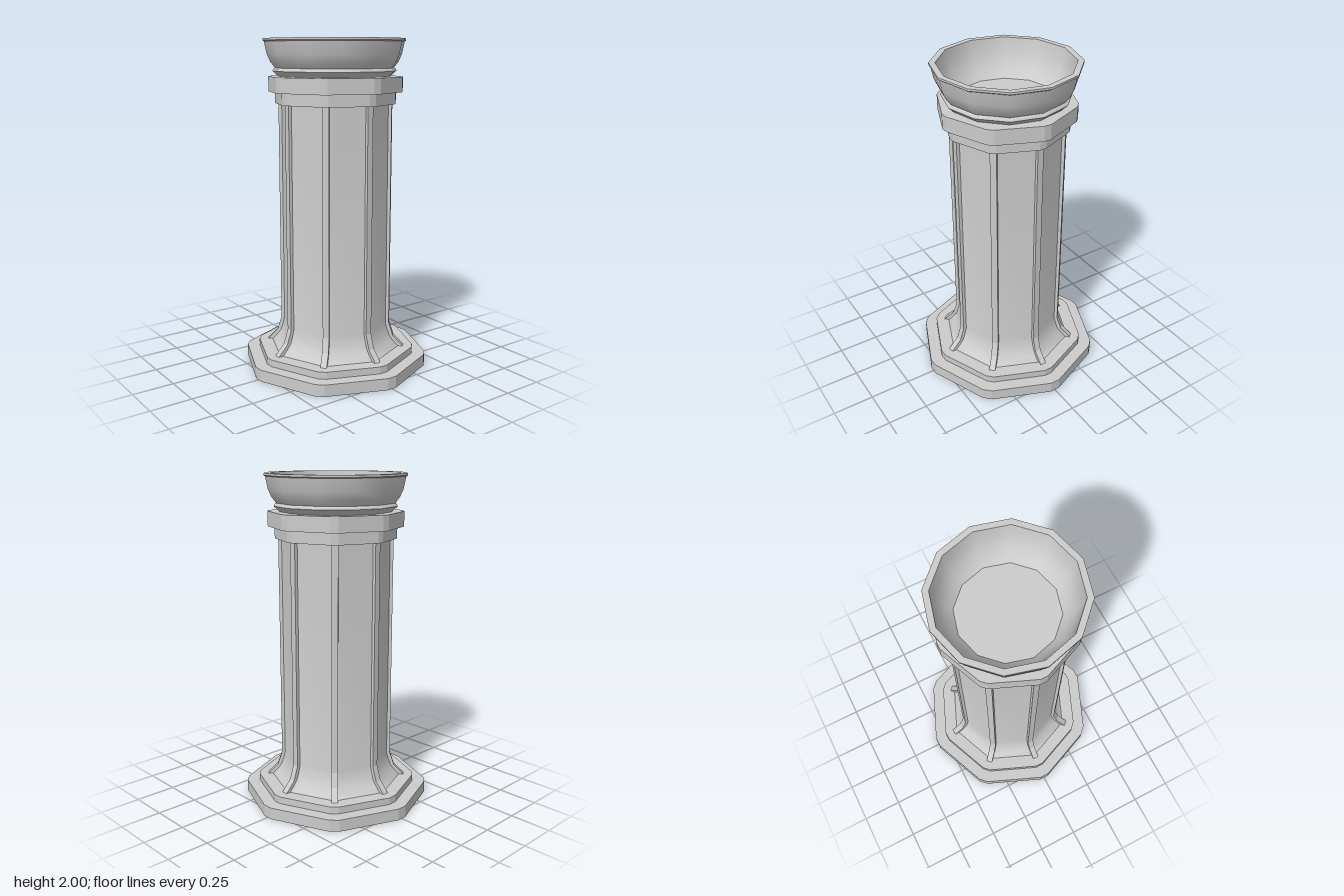
import * as THREE from 'three';
import { toCreasedNormals } from 'three/addons/utils/BufferGeometryUtils.js';

const material = new THREE.MeshStandardMaterial({ color: 0xcccccc });
const points = (list) => list.map(([r, y]) => new THREE.Vector2(r, y));

function addMesh(parent, name, geometry) {
  const mesh = new THREE.Mesh(geometry, material);
  mesh.name = name;
  parent.add(mesh);
  return mesh;
}

// Octagonal slab with a narrow flat cut across each corner
function slab(radius, flat, y0, y1) {
  const outline = [];
  for (let i = 0; i < 8; i++) {
    const a = (i * Math.PI) / 4;
    for (const t of [-flat, flat]) {
      outline.push(new THREE.Vector2(
        radius * Math.cos(a) - t * Math.sin(a),
        radius * Math.sin(a) + t * Math.cos(a)));
    }
  }
  const geo = new THREE.ExtrudeGeometry(new THREE.Shape(outline), { depth: y1 - y0, bevelEnabled: false });
  return geo.rotateX(-Math.PI / 2).translate(0, y0, 0);
}

export function createModel() {
  const model = new THREE.Group();
  model.name = 'pedestalWithBowl';

  // Stepped base and capital
  addMesh(model, 'basePlinth', slab(0.565, 0.03, 0, 0.072));
  addMesh(model, 'baseStep', slab(0.487, 0.026, 0.072, 0.115));
  addMesh(model, 'capitalLower', slab(0.362, 0.02, 1.62, 1.69));
  addMesh(model, 'capitalUpper', slab(0.402, 0.022, 1.69, 1.78));

  // Eight-sided shaft flaring out at the foot
  const shaft = [[0.41, 0.115], [0.385, 0.14], [0.355, 0.18], [0.341, 0.22], [0.33, 0.265], [0.33, 1.62]];
  addMesh(model, 'shaft', toCreasedNormals(new THREE.LatheGeometry(points(shaft), 8), 0.6));

  // Ribs following the shaft's corners
  const ribProfile = [
    [0.38, 0.115], [0.432, 0.115], [0.37, 0.18], [0.342, 0.265], [0.342, 1.62],
    [0.3, 1.62], [0.3, 0.265], [0.33, 0.18],
  ];
  const ribGeometry = new THREE.ExtrudeGeometry(new THREE.Shape(points(ribProfile)),
    { depth: 0.038, bevelEnabled: false }).translate(0, 0, -0.019);
  const ribs = new THREE.Group();
  ribs.name = 'ribs';
  model.add(ribs);
  for (let i = 0; i < 8; i++) {
    addMesh(ribs, 'rib', ribGeometry).rotation.y = (i * Math.PI) / 4;
  }

  // Twelve-sided bowl, one smooth band per profile section
  const bowl = new THREE.Group();
  bowl.name = 'bowl';
  model.add(bowl);
  const bands = {
    bowlFoot: [[0.335, 1.78], [0.37, 1.812]],
    footRing: [[0.37, 1.812], [0.366, 1.824], [0.355, 1.83]],
    bowlWall: [[0.355, 1.83], [0.382, 1.865], [0.402, 1.91], [0.417, 1.982]],
    rimUnderside: [[0.417, 1.982], [0.426, 1.988]],
    rimEdge: [[0.426, 1.988], [0.426, 2]],
    rimTop: [[0.426, 2], [0.39, 2]],
    bowlInside: [[0.39, 2], [0.378, 1.93], [0.355, 1.87], [0.322, 1.82], [0.285, 1.785]],
    bowlFloor: [[0.285, 1.785], [0, 1.785]],
  };
  for (const [name, profile] of Object.entries(bands)) {
    addMesh(bowl, name, new THREE.LatheGeometry(points(profile), 12));
  }

  return model;
}
